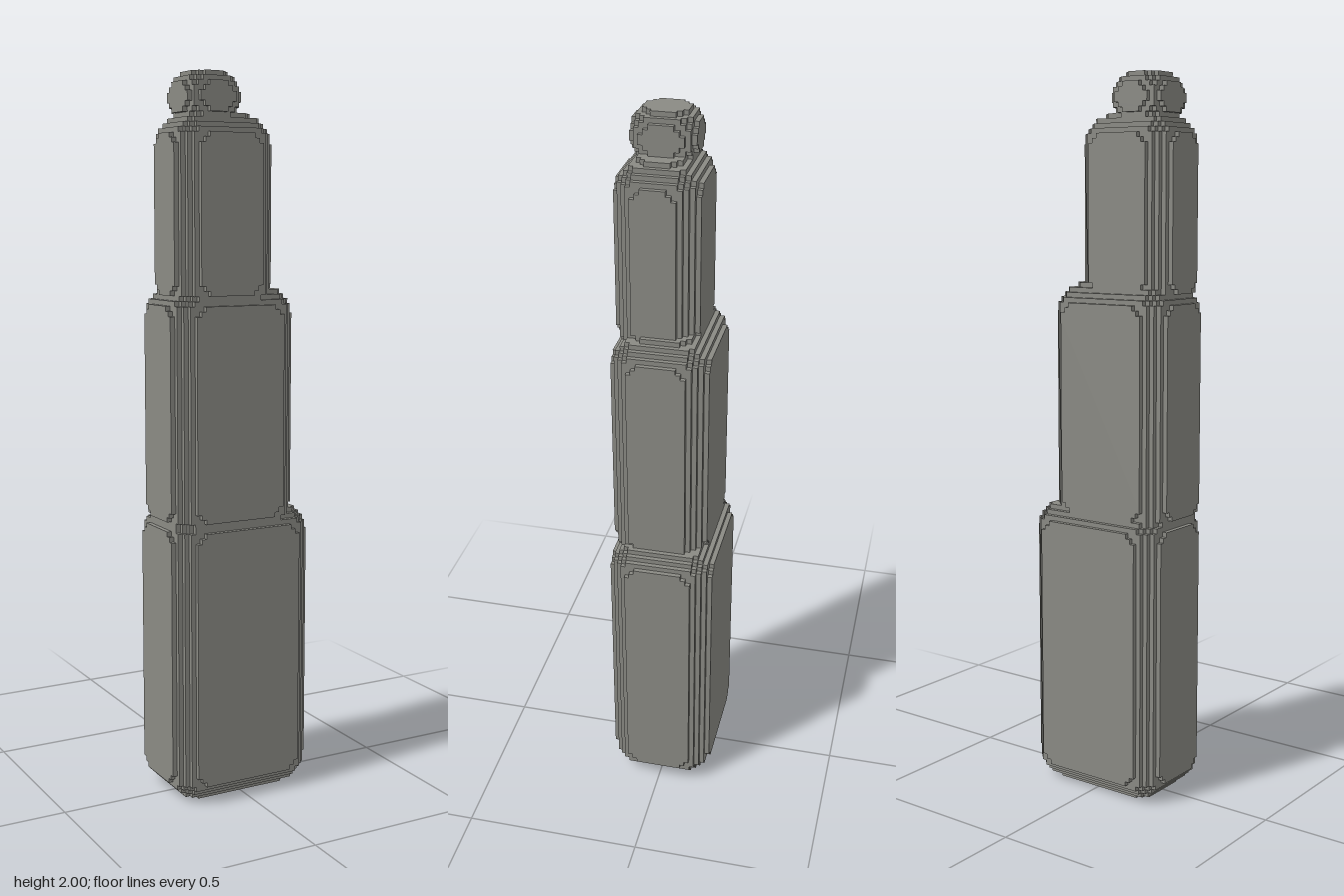
import * as THREE from 'three';
import { mergeGeometries } from 'three/addons/utils/BufferGeometryUtils.js';

const CELL = 2 / 150; // all block sizes below are in grid cells

// Stepped quarter outline of a rounded block, at k cells below its top (or above its base)
function cornerSteps(r, k) {
  const d = (n) => Math.max(0, r - n - 0.5) ** 2;
  const n = Math.ceil(r);
  const points = [];
  let last = -1;
  for (let j = 0; j <= n; j++) {
    let i = 0;
    while (i <= n && d(i) + d(j) + d(k) > r * r) i++;
    if (i > n || i === last) continue;
    if (last >= 0) points.push([last, j]);
    points.push([i, j]);
    last = i;
  }
  return points;
}

// One horizontal slab with four mirrored stepped corners
function slab(x0, x1, z0, z1, y, height, steps) {
  const back = [...steps].reverse();
  const outline = [
    ...steps.map(([a, b]) => [x0 + a, z0 + b]),
    ...back.map(([a, b]) => [x0 + a, z1 - b]),
    ...steps.map(([a, b]) => [x1 - a, z1 - b]),
    ...back.map(([a, b]) => [x1 - a, z0 + b]),
  ];
  const shape = new THREE.Shape(outline.map(([x, z]) => new THREE.Vector2(x, -z)));
  const geo = new THREE.ExtrudeGeometry(shape, { depth: height, bevelEnabled: false });
  return geo.rotateX(-Math.PI / 2).translate(0, y, 0);
}

// Block with rounded edges and corners, built from stacked slabs
function steppedBlock([x0, x1], [y0, y1], [z0, z1], r) {
  const n = Math.ceil(r);
  const slabs = [];
  for (let k = 0; k < n; k++) {
    const steps = cornerSteps(r, k);
    slabs.push(slab(x0, x1, z0, z1, y0 + k, 1, steps));
    slabs.push(slab(x0, x1, z0, z1, y1 - k - 1, 1, steps));
  }
  const middle = y1 - y0 - 2 * n;
  if (middle > 0) slabs.push(slab(x0, x1, z0, z1, y0 + n, middle, cornerSteps(r, n)));
  return mergeGeometries(slabs).scale(CELL, CELL, CELL);
}

export function createModel() {
  const group = new THREE.Group();
  group.name = 'steppedTower';
  const stone = new THREE.MeshStandardMaterial({ color: 0x8a8a84 });
  stone.name = 'stone grey';

  // name, x range, y range, z range, corner radius
  const blocks = [
    ['baseBlock', [-16, 16], [0, 62], [-11, 11], 7],
    ['middleBlock', [-16, 12], [56, 108], [-9, 11], 7],
    ['upperBlock', [-15, 7], [102, 142], [-6, 11], 7],
    ['topBlock', [-12, 0], [140, 150], [-4, 9], 4.5],
  ];
  for (const [name, x, y, z, r] of blocks) {
    const mesh = new THREE.Mesh(steppedBlock(x, y, z, r), stone);
    mesh.name = name;
    group.add(mesh);
  }
  return group;
}
